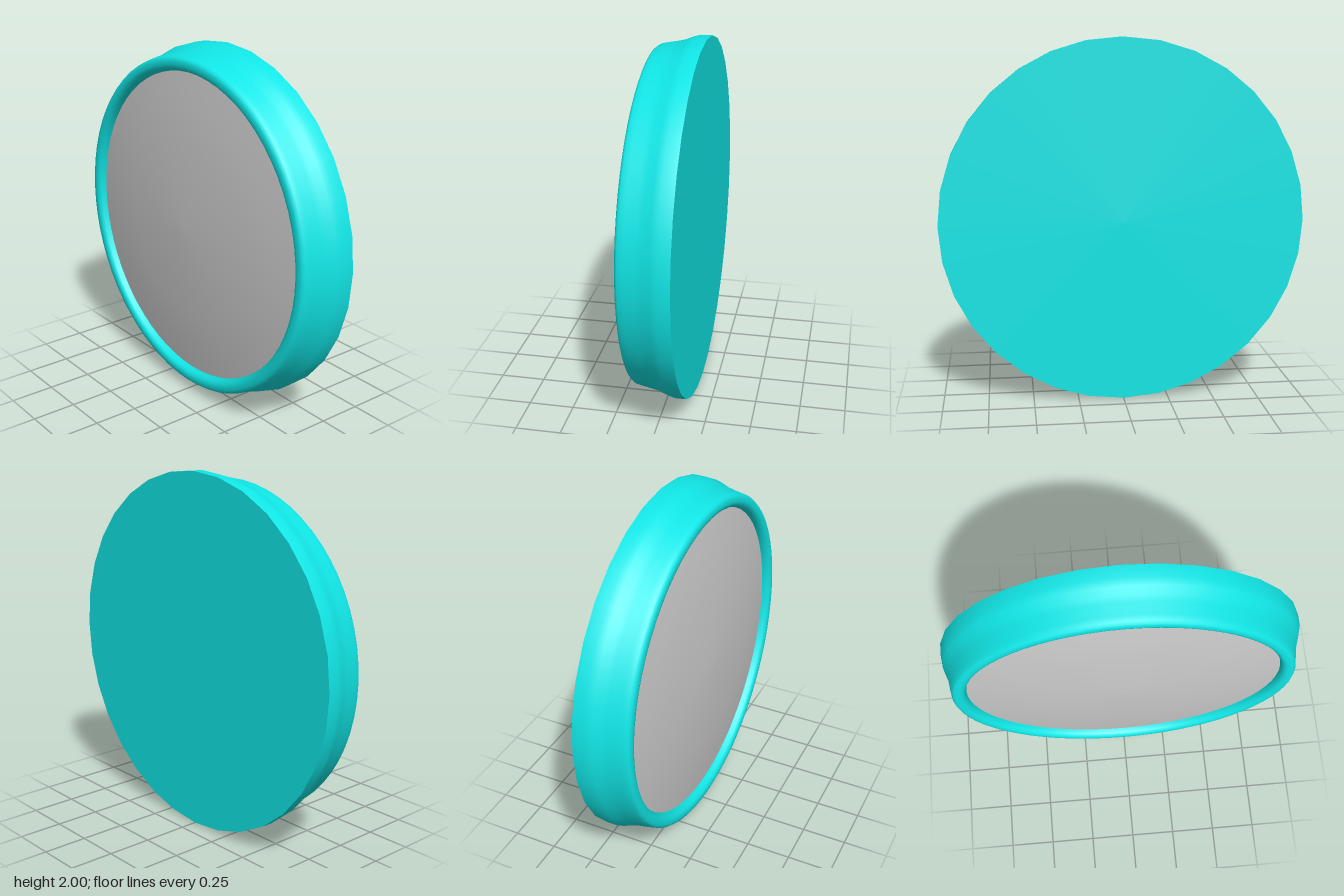
import * as THREE from 'three';

const SIDES = 32; // sides of the rear outline; the front lip has twice as many

// Revolves [radius, z] points about the z axis
function revolve(points, segments) {
  const geo = new THREE.LatheGeometry(points.map(([r, z]) => new THREE.Vector2(r, z)), segments);
  return geo.rotateX(Math.PI / 2);
}

export function createModel() {
  const model = new THREE.Group();
  const teal = new THREE.MeshStandardMaterial({ color: 0x11e6e6 });
  const grey = new THREE.MeshStandardMaterial({ color: 0xcccccc });

  const add = (name, geometry, material) => {
    const mesh = new THREE.Mesh(geometry, material);
    mesh.name = name;
    mesh.position.y = 1;
    model.add(mesh);
    return mesh;
  };

  // Flared housing with a rounded front lip
  const profile = [
    [1, -0.155], [1, -0.09], [0.988, -0.05], [0.972, -0.01], [0.964, 0.025],
    [0.953, 0.085], [0.947, 0.115], [0.938, 0.127], [0.925, 0.132], [0.905, 0.134],
    [0.888, 0.129], [0.876, 0.116], [0.869, 0.098], [0.865, 0.07],
  ];
  const housing = revolve(profile, SIDES * 2);
  // Pull every second column in toward the back, so the rear has half the sides
  const pos = housing.attributes.position;
  for (let i = 0; i < pos.count; i++) {
    const column = Math.floor(i / profile.length);
    if (column % 2 === 0) continue;
    const weight = THREE.MathUtils.clamp((0.1 - pos.getZ(i)) / 0.19, 0, 1);
    const scale = THREE.MathUtils.lerp(1, Math.cos(Math.PI / SIDES), weight);
    pos.setXY(i, pos.getX(i) * scale, pos.getY(i) * scale);
  }
  add('housing', housing, teal);

  // Flat back
  const back = add('backPlate', new THREE.CircleGeometry(1, SIDES), teal);
  back.rotation.y = Math.PI;
  back.position.z = -0.155;

  // Slightly domed front panel
  const dome = [0.872, 0.7, 0.5, 0.2, 0].map((r) => [r, 0.157 - 0.09 * r * r]);
  add('frontPanel', revolve(dome, SIDES * 2), grey);

  return model;
}
